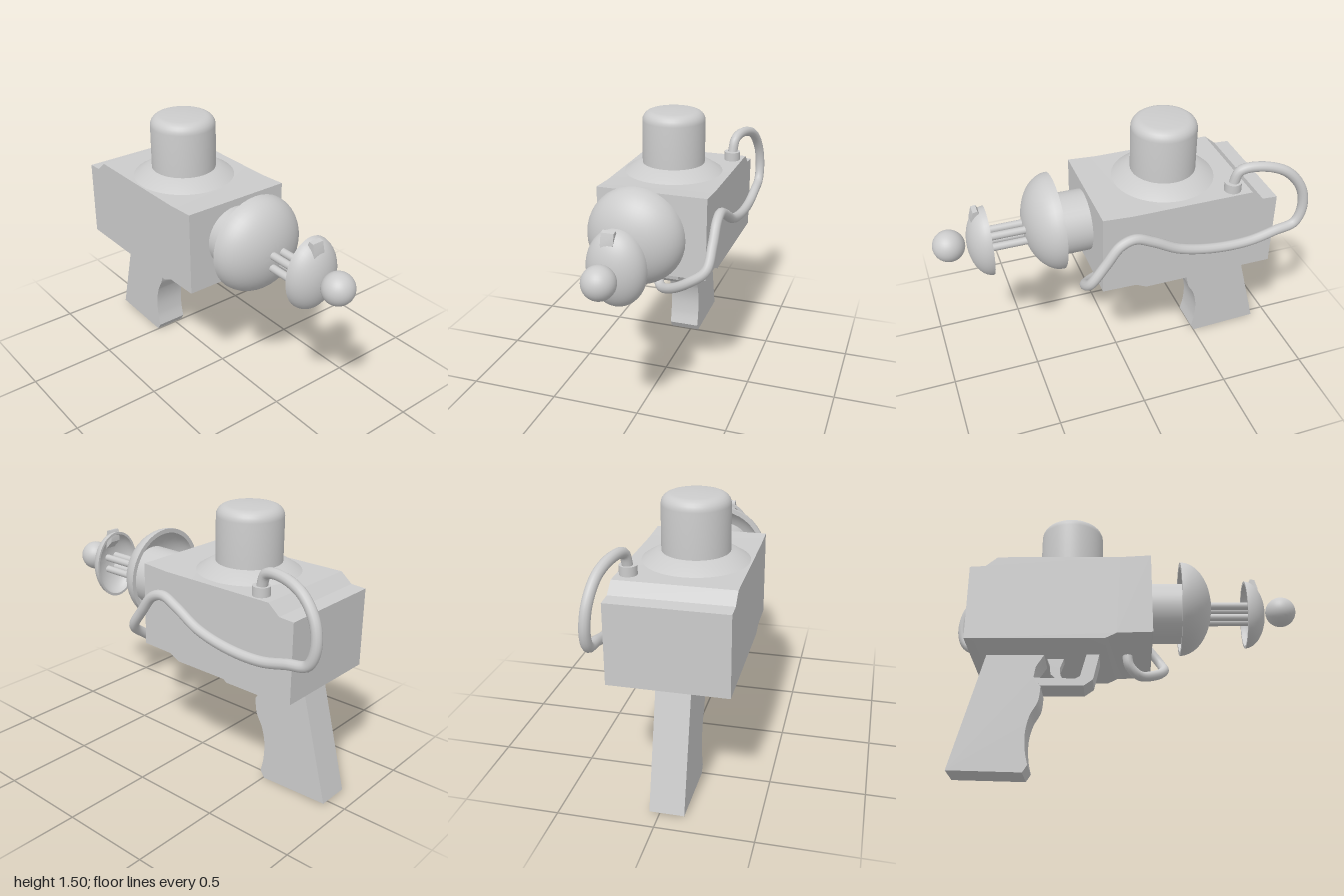
import * as THREE from 'three';
import { toCreasedNormals } from 'three/addons/utils/BufferGeometryUtils.js';

const material = new THREE.MeshStandardMaterial({ color: 0xcccccc });

export function createModel() {
  const model = new THREE.Group();

  const add = (name, geometry, x = 0, y = 0, z = 0) => {
    const mesh = new THREE.Mesh(geometry, material);
    mesh.name = name;
    mesh.position.set(x, y, z);
    model.add(mesh);
    return mesh;
  };

  // Side profile in x/y, extruded between two z values
  const slab = (name, shape, z0, z1) => {
    const geo = new THREE.ExtrudeGeometry(shape, { depth: z1 - z0, bevelEnabled: false, curveSegments: 8 });
    return add(name, toCreasedNormals(geo, 0.6), 0, 0, z0);
  };
  const polygon = (pts) => new THREE.Shape(pts.map(([x, y]) => new THREE.Vector2(x, y)));

  // Turned part: [radius, height] pairs
  const turned = (name, pts, x, y, z, crease = 0.6) => {
    const geo = new THREE.LatheGeometry(pts.map(([r, h]) => new THREE.Vector2(r, h)), 40);
    return add(name, toCreasedNormals(geo, crease), x, y, z);
  };
  const alongX = (mesh) => { mesh.rotation.z = -Math.PI / 2; return mesh; };

  // Receiver
  slab('body', polygon([
    [-0.82, 0.66], [-0.08, 0.66], [-0.02, 0.69], [0.17, 0.695], [0.165, 1.16],
    [0, 1.15], [-0.67, 1.15], [-0.735, 1.095], [-0.82, 1.09],
  ]), -0.28, 0.34);

  // Canister on top with its sloped collar
  turned('collar', [[0, 1.13], [0.28, 1.13], [0.28, 1.15], [0.2, 1.2], [0, 1.2]], -0.285, 0, 0.05);
  const canister = [[0, 1.15], [0.178, 1.15], [0.178, 1.44]];
  for (let i = 1; i <= 6; i++) {
    const a = (i / 6) * Math.PI / 2;
    canister.push([0.123 + 0.055 * Math.cos(a), 1.44 + 0.055 * Math.sin(a)]);
  }
  canister.push([0, 1.5]);
  turned('canister', canister, -0.285, 0, 0.05);

  // Barrel and the two hollow dishes
  alongX(add('barrel', new THREE.CylinderGeometry(0.17, 0.17, 0.3, 40), 0.29, 0.95, 0.05));
  const dish = (name, r, depth, wall, x, y, z) => {
    const pts = [];
    const arc = (radius, d, from, to) => {
      for (let i = 0; i <= 14; i++) {
        const a = from + (to - from) * i / 14;
        pts.push([Math.max(0, radius * Math.cos(a)), d * Math.sin(a)]);
      }
    };
    arc(r - wall, depth - wall, Math.PI / 2, 0);
    arc(r, depth, 0, Math.PI / 2);
    return alongX(turned(name, pts, x, y, z));
  };
  dish('largeDish', 0.266, 0.178, 0.025, 0.333, 0.98, 0.05);
  dish('smallDish', 0.2, 0.115, 0.015, 0.705, 0.965, 0.01).scale.z = 0.775;

  // Rods joining the dishes
  for (const dy of [-0.036, 0.036]) {
    for (const dz of [-0.032, 0.032]) {
      alongX(add('rod', new THREE.CylinderGeometry(0.021, 0.021, 0.32, 14), 0.63, 0.952 + dy, 0.04 + dz));
    }
  }
  add('tipBall', new THREE.SphereGeometry(0.085, 32, 20), 0.912, 0.977, 0.017);
  slab('sight', polygon([
    [0.735, 1.1], [0.785, 1.05], [0.785, 1.11], [0.77, 1.165], [0.745, 1.17], [0.735, 1.15],
  ]), -0.005, 0.06);

  // Grip with finger-shaped front edge
  const grip = new THREE.Shape();
  grip.moveTo(-0.9, 0.012);
  grip.lineTo(-0.505, 0);
  grip.lineTo(-0.48, 0.04);
  grip.splineThru([[-0.497, 0.12], [-0.5, 0.22], [-0.48, 0.31], [-0.44, 0.39], [-0.43, 0.475]]
    .map(([x, y]) => new THREE.Vector2(x, y)));
  grip.lineTo(-0.47, 0.53);
  grip.lineTo(-0.46, 0.59);
  grip.lineTo(-0.41, 0.67);
  grip.lineTo(-0.73, 0.67);
  slab('grip', grip, -0.05, 0.13);

  // Trigger guard and trigger
  slab('triggerGuard', polygon([
    [-0.47, 0.525], [-0.43, 0.478], [-0.2, 0.478], [-0.15, 0.515], [-0.115, 0.67],
    [-0.185, 0.67], [-0.22, 0.535], [-0.245, 0.52],
  ]), -0.025, 0.13);
  slab('trigger', polygon([
    [-0.41, 0.67], [-0.31, 0.67], [-0.335, 0.6], [-0.33, 0.56], [-0.305, 0.525],
    [-0.345, 0.53], [-0.385, 0.57], [-0.39, 0.62],
  ]), 0.01, 0.075);

  // Hose from the underside, along the right flank, round the back to the top
  const path = new THREE.CatmullRomCurve3([
    [0.035, 0.71, 0.04], [0.045, 0.64, 0.035], [0.1, 0.592, 0], [0.19, 0.63, -0.09],
    [0.25, 0.71, -0.21], [0.24, 0.785, -0.3], [0.16, 0.9, -0.312], [0.08, 1.0, -0.31],
    [0, 1.025, -0.308], [-0.1, 0.985, -0.31], [-0.25, 0.905, -0.312], [-0.45, 0.86, -0.315],
    [-0.66, 0.855, -0.315], [-0.82, 0.89, -0.315], [-0.93, 0.915, -0.312], [-0.968, 1.0, -0.31],
    [-0.95, 1.13, -0.3], [-0.86, 1.24, -0.28], [-0.72, 1.283, -0.25], [-0.61, 1.265, -0.228],
    [-0.58, 1.18, -0.22],
  ].map((p) => new THREE.Vector3(...p)));
  add('hose', new THREE.TubeGeometry(path, 160, 0.028, 12));
  add('hoseFitting', new THREE.CylinderGeometry(0.046, 0.046, 0.08, 24), -0.58, 1.16, -0.22);

  return model;
}
